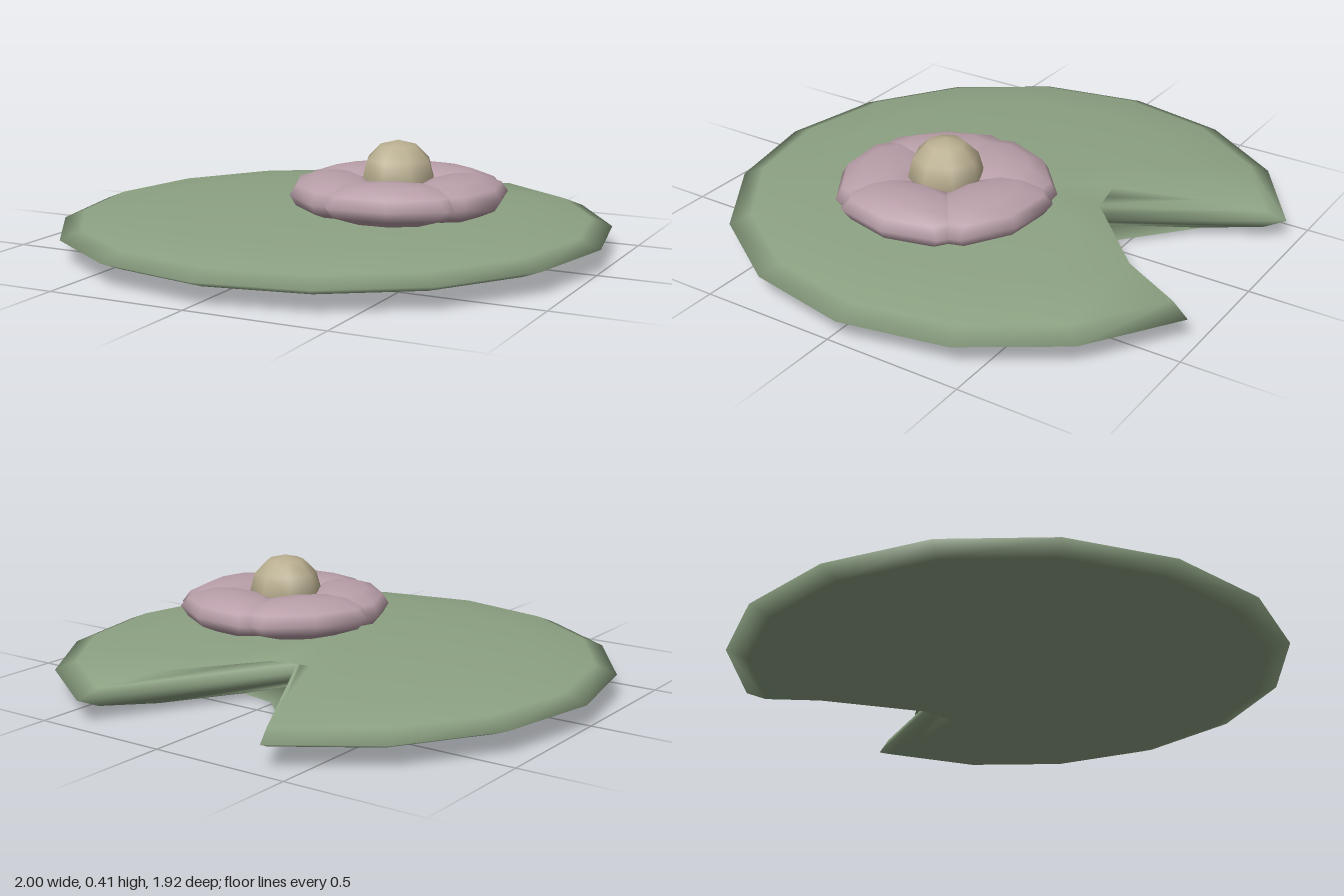
import * as THREE from 'three';
import { mergeVertices } from 'three/addons/utils/BufferGeometryUtils.js';

const material = (color) => new THREE.MeshStandardMaterial({ color, side: THREE.DoubleSide });

// Squashed low-poly sphere whose back column is pulled inward to cut the notch
function padGeometry() {
  let geo = new THREE.SphereGeometry(1, 16, 8);
  geo.deleteAttribute('uv');
  geo.deleteAttribute('normal');
  geo = mergeVertices(geo, 1e-4);
  const p = geo.attributes.position;
  for (let i = 0; i < p.count; i++) {
    const x = -p.getX(i);
    let z = p.getZ(i);
    if (Math.abs(x) < 0.01 && z < -0.5) z *= 0.25;
    p.setXYZ(i, x, p.getY(i) * 0.08, z);
  }
  // restore outward winding after the mirror in x
  const index = geo.index;
  for (let i = 0; i < index.count; i += 3) {
    const a = index.getX(i);
    index.setX(i, index.getX(i + 1));
    index.setX(i + 1, a);
  }
  geo.computeVertexNormals();
  return geo;
}

export function createModel() {
  const model = new THREE.Group();
  model.name = 'lilyPad';

  // Floating leaf
  const leaf = new THREE.Mesh(padGeometry(), material(0x8da283));
  leaf.name = 'leaf';
  leaf.position.set(0, 0.08, -0.038);
  model.add(leaf);

  // Flower sitting off-centre on the leaf
  const flower = new THREE.Group();
  flower.name = 'flower';
  flower.position.set(0.283, 0, 0.033);
  model.add(flower);

  // Five overlapping petals in a ring
  const petalGeo = new THREE.SphereGeometry(1, 8, 6);
  petalGeo.scale(0.163, 0.073, 0.28);
  petalGeo.translate(0.22, 0.228, 0);
  const pink = material(0xb99fa9);
  for (let i = 0; i < 5; i++) {
    const petal = new THREE.Mesh(petalGeo, pink);
    petal.name = 'petal';
    petal.rotation.y = (i * Math.PI * 2) / 5;
    flower.add(petal);
  }

  // Round flower centre
  const centre = new THREE.Mesh(new THREE.SphereGeometry(0.133, 8, 6), material(0xb9ae90));
  centre.name = 'flowerCentre';
  centre.position.y = 0.28;
  flower.add(centre);

  return model;
}
